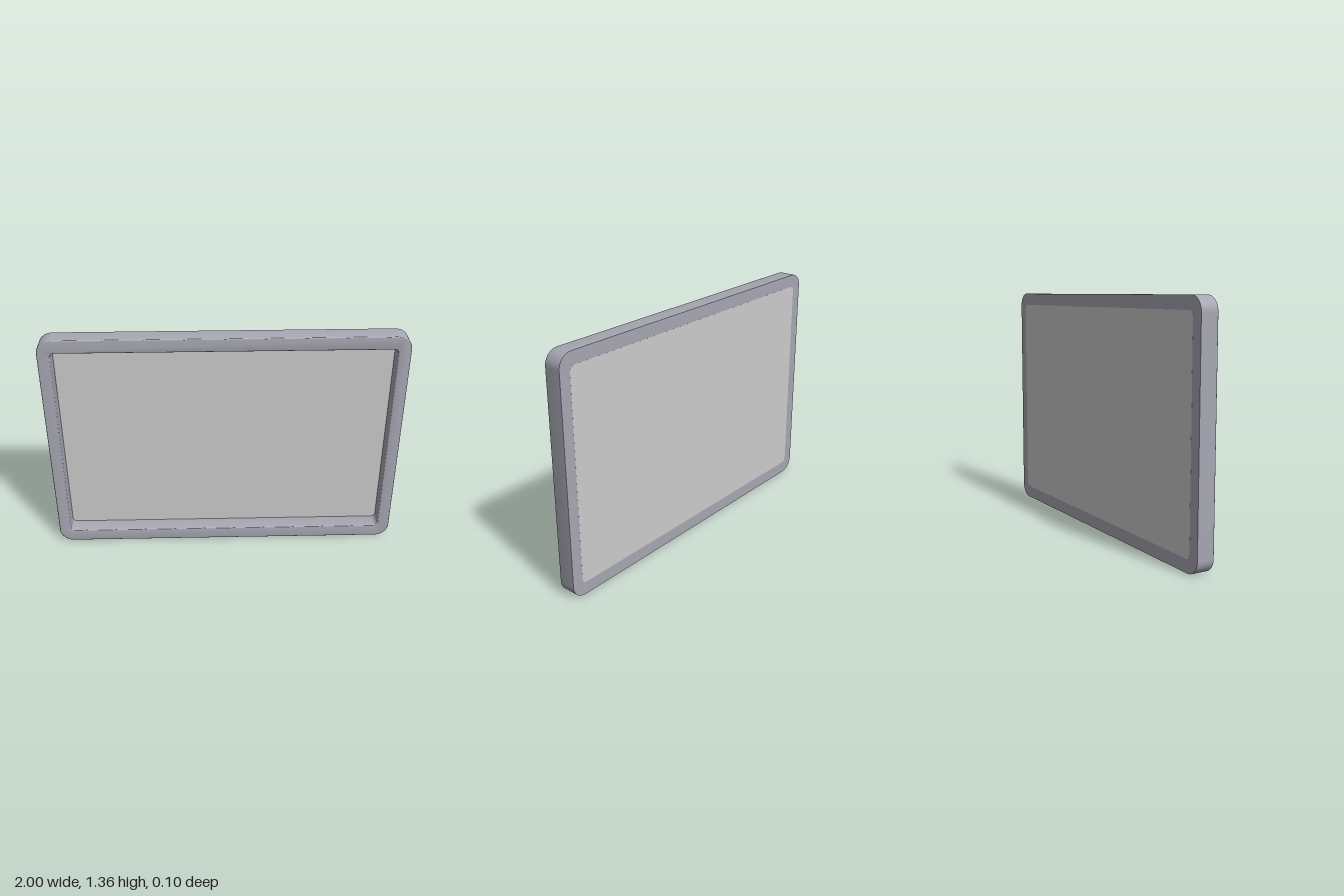
import * as THREE from 'three';
import { toCreasedNormals } from 'three/addons/utils/BufferGeometryUtils.js';

const W = 2, H = 1.355, D = 0.1;
const BORDER_X = 0.07, BORDER_Y = 0.077, BEVEL = 0.005;

// Rounded rectangle centred on the origin
function roundedRect(path, w, h, r) {
  const x = w / 2, y = h / 2;
  path.moveTo(-x + r, -y);
  path.lineTo(x - r, -y);
  path.absarc(x - r, -y + r, r, -Math.PI / 2, 0);
  path.lineTo(x, y - r);
  path.absarc(x - r, y - r, r, 0, Math.PI / 2);
  path.lineTo(-x + r, y);
  path.absarc(-x + r, y - r, r, Math.PI / 2, Math.PI);
  path.lineTo(-x, -y + r);
  path.absarc(-x + r, -y + r, r, Math.PI, Math.PI * 1.5);
  return path;
}

export function createModel() {
  const group = new THREE.Group();
  const innerW = W - 2 * BORDER_X, innerH = H - 2 * BORDER_Y;

  // Rounded border: front edges softened, back left flat and square
  const outline = roundedRect(new THREE.Shape(), W, H, 0.08);
  outline.holes.push(roundedRect(new THREE.Path(), innerW, innerH, 0.025));
  let frameGeo = new THREE.ExtrudeGeometry(outline, {
    depth: D - BEVEL, curveSegments: 12,
    bevelEnabled: true, bevelThickness: BEVEL, bevelSize: BEVEL,
    bevelOffset: -BEVEL, bevelSegments: 3,
  });
  const pos = frameGeo.attributes.position;
  for (let i = 0; i < pos.count; i++) pos.setZ(i, Math.max(pos.getZ(i), 0));
  frameGeo.translate(0, H / 2, -D / 2);
  frameGeo = toCreasedNormals(frameGeo, 0.6);
  const frame = new THREE.Mesh(frameGeo, new THREE.MeshStandardMaterial({ color: 0xa6a7b2 }));
  frame.name = 'frame';
  group.add(frame);

  // Thin panel closing the back, flush with the frame
  const panelShape = roundedRect(new THREE.Shape(), innerW + 0.01, innerH + 0.01, 0.03);
  const panelGeo = new THREE.ExtrudeGeometry(panelShape, { depth: 0.01, bevelEnabled: false, curveSegments: 8 });
  panelGeo.translate(0, H / 2, -D / 2 - 0.0003);
  const panel = new THREE.Mesh(panelGeo, new THREE.MeshStandardMaterial({ color: 0xcccccc }));
  panel.name = 'backPanel';
  group.add(panel);

  return group;
}
